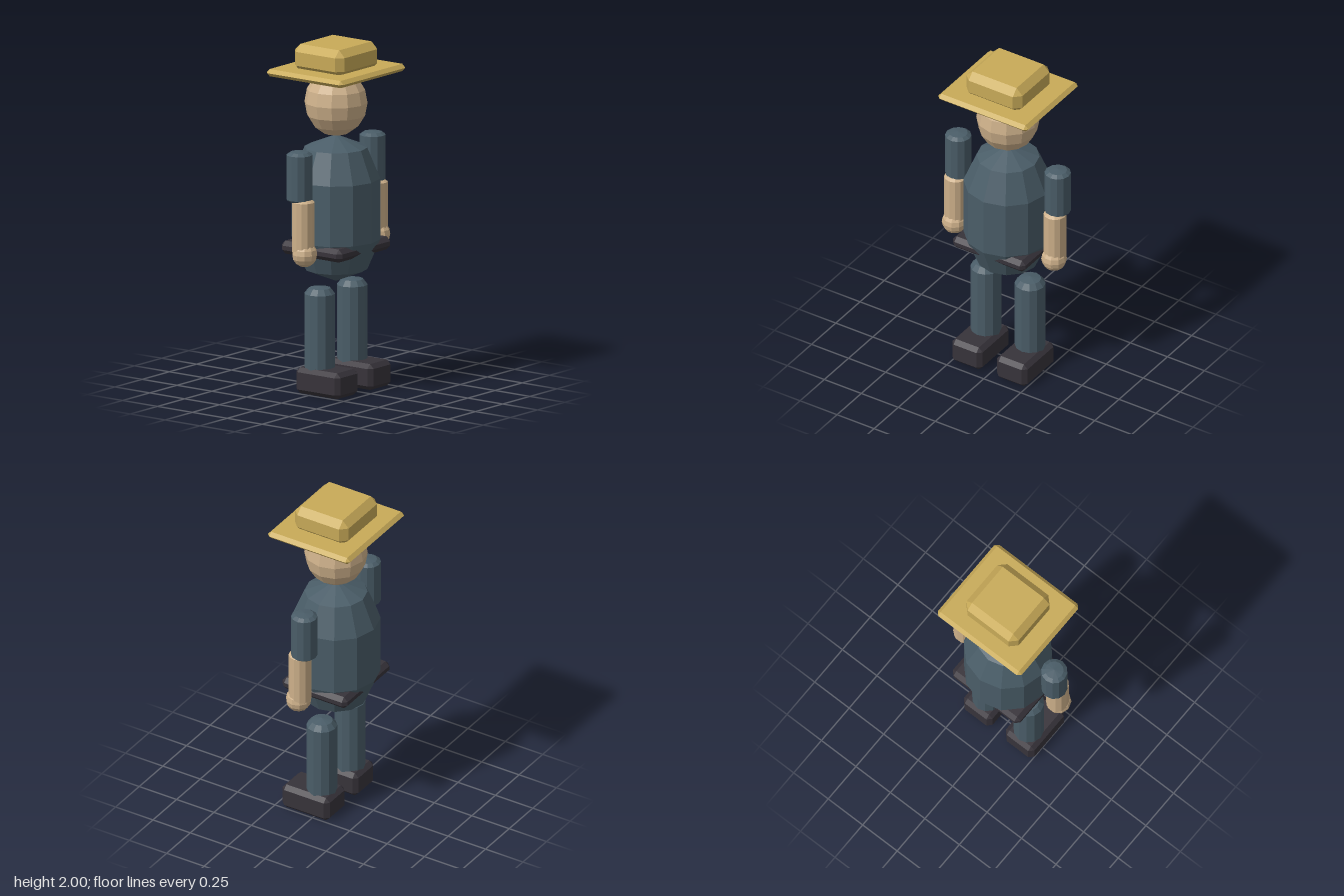
import * as THREE from 'three';
import { ConvexGeometry } from 'three/addons/geometries/ConvexGeometry.js';

const flat = (name, color) => {
  const m = new THREE.MeshStandardMaterial({ color });
  m.name = name;
  m.flatShading = true;
  return m;
};

export function createModel() {
  const model = new THREE.Group();
  model.name = 'figure';

  const cloth = flat('slateCloth', 0x4a5d68);
  const skin = flat('skin', 0xcdb08a);
  const straw = flat('straw', 0xc8aa58);
  const leather = flat('darkLeather', 0x37333a);

  const add = (name, geometry, material, x, y, z) => {
    const mesh = new THREE.Mesh(geometry, material);
    mesh.name = name;
    mesh.position.set(x, y, z);
    model.add(mesh);
    return mesh;
  };

  // Box with every edge chamfered by c
  const chamferBox = (w, h, d, c) => {
    const points = [];
    for (const sx of [-1, 1]) for (const sy of [-1, 1]) for (const sz of [-1, 1]) {
      for (let axis = 0; axis < 3; axis++) {
        const inset = [c, c, c];
        inset[axis] = 0;
        points.push(new THREE.Vector3(
          sx * (w / 2 - inset[0]), sy * (h / 2 - inset[1]), sz * (d / 2 - inset[2])));
      }
    }
    return new ConvexGeometry(points);
  };

  // Twelve-sided rod between two heights with low two-step domed ends
  const rod = (r, bottom, top, dome) => {
    const k = Math.SQRT1_2;
    return new THREE.LatheGeometry([
      [0, bottom], [r * k, bottom + dome * (1 - k)], [r, bottom + dome],
      [r, top - dome], [r * k, top - dome * (1 - k)], [0, top],
    ].map(([x, y]) => new THREE.Vector2(x, y)), 12);
  };

  // Trunk and belt
  add('torso', rod(0.253, 0.62, 1.47, 0.25), cloth, 0, 0, 0);
  add('belt', chamferBox(0.49, 0.075, 0.434, 0.025), leather, 0, 0.828, 0);

  // Head
  const head = add('head', new THREE.SphereGeometry(0.18, 12, 8), skin, 0, 1.657, 0);
  head.scale.y = 1.08;

  // Hat
  add('hatBrim', chamferBox(0.61, 0.042, 0.55, 0.0209), straw, 0, 1.841, 0);
  add('hatCrown', chamferBox(0.378, 0.16, 0.358, 0.04), straw, 0, 1.92, 0);

  // Limbs, mirrored
  for (const [side, s] of [['left', 1], ['right', -1]]) {
    add(side + 'UpperArm', rod(0.075, 1.13, 1.432, 0.022), cloth, s * 0.336, 0, 0);
    add(side + 'Forearm', rod(0.065, 0.83, 1.16, 0.02), skin, s * 0.336, 0, 0.028);
    add(side + 'Hand', new THREE.SphereGeometry(0.073, 10, 8), skin, s * 0.336, 0.838, 0.038);
    add(side + 'Leg', rod(0.088, 0.05, 0.62, 0.045), cloth, s * 0.15, 0, 0);
    add(side + 'Shoe', chamferBox(0.205, 0.15, 0.315, 0.025), leather, s * 0.152, 0.075, 0.054);
  }

  return model;
}
